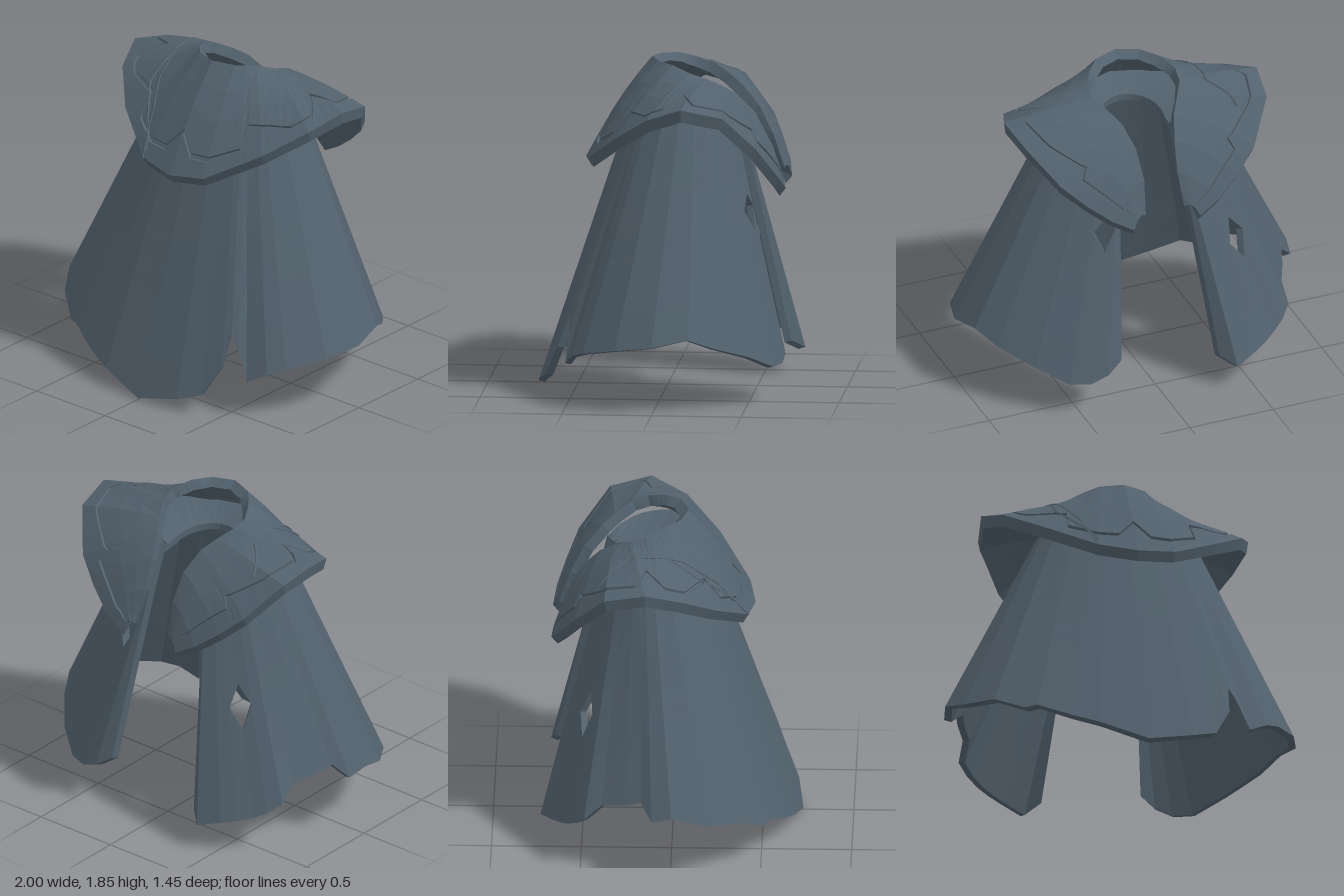
import * as THREE from 'three';

const cloth = new THREE.MeshStandardMaterial({ color: 0x52616d, flatShading: true });
cloth.name = 'slate cloth';

// Closed shell from a grid of outer and inner points; holes are diamonds centred on grid points.
function shell(name, outer, inner, holes = []) {
  const rows = outer[0].length, pts = outer.flat(), back = inner.flat(), n = pts.length;
  const tris = [];
  const isHole = k => holes.includes(k);
  for (let i = 0; i < outer.length - 1; i++) {
    for (let j = 0; j < rows - 1; j++) {
      const a = i * rows + j, c = a + 1, b = a + rows, d = b + 1;
      if (isHole(a)) tris.push([b, c, d]);
      else if (isHole(b)) tris.push([a, c, d]);
      else if (isHole(c)) tris.push([a, d, b]);
      else if (isHole(d)) tris.push([a, c, b]);
      else tris.push([a, c, b], [b, c, d]);
    }
  }
  const edges = new Set();
  for (const t of tris) t.forEach((p, k) => edges.add(p + '_' + t[(k + 1) % 3]));
  const index = [];
  for (const [a, b, c] of tris) index.push(a, b, c, a + n, c + n, b + n);
  // walls along every open edge
  for (const e of edges) {
    const [a, b] = e.split('_').map(Number);
    if (!edges.has(b + '_' + a)) index.push(b, a, a + n, b, a + n, b + n);
  }
  const g = new THREE.BufferGeometry().setFromPoints([...pts, ...back]);
  g.setIndex(index);
  g.computeVertexNormals();
  const mesh = new THREE.Mesh(g, cloth);
  mesh.name = name;
  return mesh;
}

const V = (x, y, z) => new THREE.Vector3(x, y, z);

// Ragged hem, from the right back edge round the front to the left back edge
const HEM = [
  [-0.32, 0.19, -0.66], [-0.4, 0.14, -0.73], [-0.53, 0.18, -0.68], [-0.61, 0.2, -0.635], [-0.68, 0.22, -0.585],
  [-0.75, 0.26, -0.54], [-0.81, 0.31, -0.48], [-0.81, 0.4, -0.38], [-0.87, 0.43, -0.25], [-0.9, 0.46, -0.16],
  [-0.98, 0.38, -0.1], [-1, 0.41, 0.01], [-0.94, 0.34, 0.21], [-0.81, 0.3, 0.4], [-0.66, 0.21, 0.52],
  [-0.6, 0.22, 0.55], [-0.42, 0.14, 0.63], [-0.27, 0.09, 0.68], [0, 0, 0.72], [0.26, 0.06, 0.69],
  [0.4, 0.11, 0.64], [0.49, 0.28, 0.57], [0.5, 0.46, 0.5], [0.55, 0.38, 0.5], [0.62, 0.21, 0.515],
  [0.73, 0.27, 0.47], [0.81, 0.3, 0.4], [0.94, 0.34, 0.21], [1, 0.37, 0], [0.96, 0.41, -0.2],
  [0.88, 0.35, -0.34], [0.73, 0.28, -0.52], [0.57, 0.2, -0.64], [0.46, 0.2, -0.68], [0.36, 0.24, -0.69],
  [0.27, 0.3, -0.66],
];
const ROWS = [-1, 0, 0.2, 0.34, 0.4, 0.48, 0.57, 0.66, 0.85, 1];

function makeSkirt() {
  const outer = [], inner = [];
  for (const [x, y, z] of HEM) {
    const a = Math.atan2(x, z / 0.72), s = Math.sin(a), c = Math.cos(a);
    // the back opening keeps its width all the way up
    const across = r => Math.sign(x) * Math.max(Math.abs(r * s), c < 0 ? 0.16 : 0);
    const top = V(across(0.41), 1.63 + 0.04 * c, -0.11 + 0.275 * c);
    const yoke = V(across(0.17), 1.56 + 0.02 * c, -0.18 + 0.2 * c);
    const col = ROWS.map(t => t < 0 ? yoke : top.clone().lerp(V(x, y, z), t));
    outer.push(col);
    inner.push(col.map((p, j) => j === 0 ? p.clone().add(V(0, -0.04, 0))
      : p.clone().add(V(-0.04 * s, j === 1 ? -0.03 : -0.01, -0.04 * c))));
  }
  const at = (i, j) => i * ROWS.length + j;
  return shell('skirt', outer, inner, [at(4, 6), at(33, 4)]);
}

// Mantle: matching neck and rim points on one side, front to back
const NECK = [[0, 1.84, 0.085], [0.13, 1.835, 0.04], [0.21, 1.825, -0.05], [0.265, 1.79, -0.15], [0.255, 1.76, -0.24],
  [0.2, 1.71, -0.33], [0.155, 1.66, -0.4], [0.115, 1.55, -0.5], [0.1, 1.39, -0.58], [0.115, 1.2, -0.64]];
const RIM = [[0, 1.27, 0.455], [0.22, 1.3, 0.42], [0.5, 1.46, 0.245], [0.68, 1.595, 0.06], [0.76, 1.67, -0.14],
  [0.725, 1.62, -0.37], [0.58, 1.43, -0.54], [0.45, 1.31, -0.605], [0.32, 1.21, -0.655], [0.2, 1.14, -0.675]];
const END = 9;

function along(list, u) {
  const i = Math.min(Math.floor(u), END - 1);
  return V(...list[i]).lerp(V(...list[i + 1]), u - i);
}
function surface(u, v) {
  const w = Math.abs(u), p = along(NECK, w).lerp(along(RIM, w), v);
  p.y += 0.04 * Math.sin(Math.PI * v) * (0.3 + 0.7 * Math.cos(w * Math.PI / 8) ** 2);
  if (u < 0) p.x = -p.x;
  return p;
}
function normal(u, v) {
  const e = 0.3, lo = Math.max(v - 0.1, 0), hi = Math.min(v + 0.1, 1);
  const du = surface(Math.min(u + e, END), v).sub(surface(Math.max(u - e, -END), v));
  const dv = surface(u, hi).sub(surface(u, lo));
  return dv.cross(du).normalize();
}
// Underside; the rim is cut off nearly straight down
function underside(u, v) {
  const p = surface(u, v), n = normal(u, v);
  return v < 1 ? p.addScaledVector(n, -0.06) : p.addScaledVector(n, -0.035).add(V(0, -0.035, 0));
}

// Zigzag engraved border: station, distance from neck to rim
const ZIGZAG = [[0, 0.64], [0.45, 0.82], [1.6, 0.85], [1.75, 0.65], [2.2, 0.72], [2.7, 0.83], [3.3, 0.81], [3.7, 0.54],
  [4.2, 0.8], [5.2, 0.78], [6.2, 0.66], [6.4, 0.79], [8.2, 0.74], [9, 0.6]];
function zigzag(w) {
  const k = Math.max(1, ZIGZAG.findIndex(p => p[0] >= w));
  const [a, f] = ZIGZAG[k - 1], [b, g] = ZIGZAG[k];
  return f + (g - f) * (w - a) / (b - a);
}

function makeMantle() {
  const half = new Set(ZIGZAG.map(p => p[0]));
  for (let u = 0; u <= END; u += 0.5) half.add(u);
  const us = [...half].flatMap(u => u ? [-u, u] : [0]).sort((a, b) => a - b);
  const outer = [], inner = [];
  for (const u of us) {
    const g = zigzag(Math.abs(u)), deep = Math.abs(u) === END ? 0 : 0.014;
    const rows = [[0, 0], [g / 3, 0], [g * 2 / 3, 0], [g, 0], [g + 0.008, deep], [g + 0.036, deep], [g + 0.044, 0], [1, 0]];
    outer.push(rows.map(([v, d]) => surface(u, v).addScaledVector(normal(u, v), -d)));
    inner.push(rows.map(([v]) => underside(u, v)));
  }
  return shell('mantle', outer, inner);
}

// Thin crack lying on the mantle surface
function makeCrack(name, path) {
  const pts = [surface(...path[0])];
  for (let k = 0; k < path.length - 1; k++) {
    for (let s = 1; s <= 6; s++) {
      const u = THREE.MathUtils.lerp(path[k][0], path[k + 1][0], s / 6);
      const v = THREE.MathUtils.lerp(path[k][1], path[k + 1][1], s / 6);
      pts.push(surface(u, v));
    }
  }
  const mesh = new THREE.Mesh(new THREE.TubeGeometry(new THREE.CatmullRomCurve3(pts), 40, 0.008, 4), cloth);
  mesh.name = name;
  return mesh;
}

export function createModel() {
  const group = new THREE.Group();
  group.name = 'tattered cloak';
  group.add(
    makeSkirt(),
    makeMantle(),
    makeCrack('longCrack', [[-5.3, 0.7], [-4.2, 0.32], [-2.8, 0.35], [-2.2, 0.45], [-1.4, 0.72], [-1, 1]]),
    makeCrack('crackBranch', [[-2.7, 0.37], [-2, 0.66], [-1.1, 0.88], [-1, 0.95]]),
  );
  return group;
}
